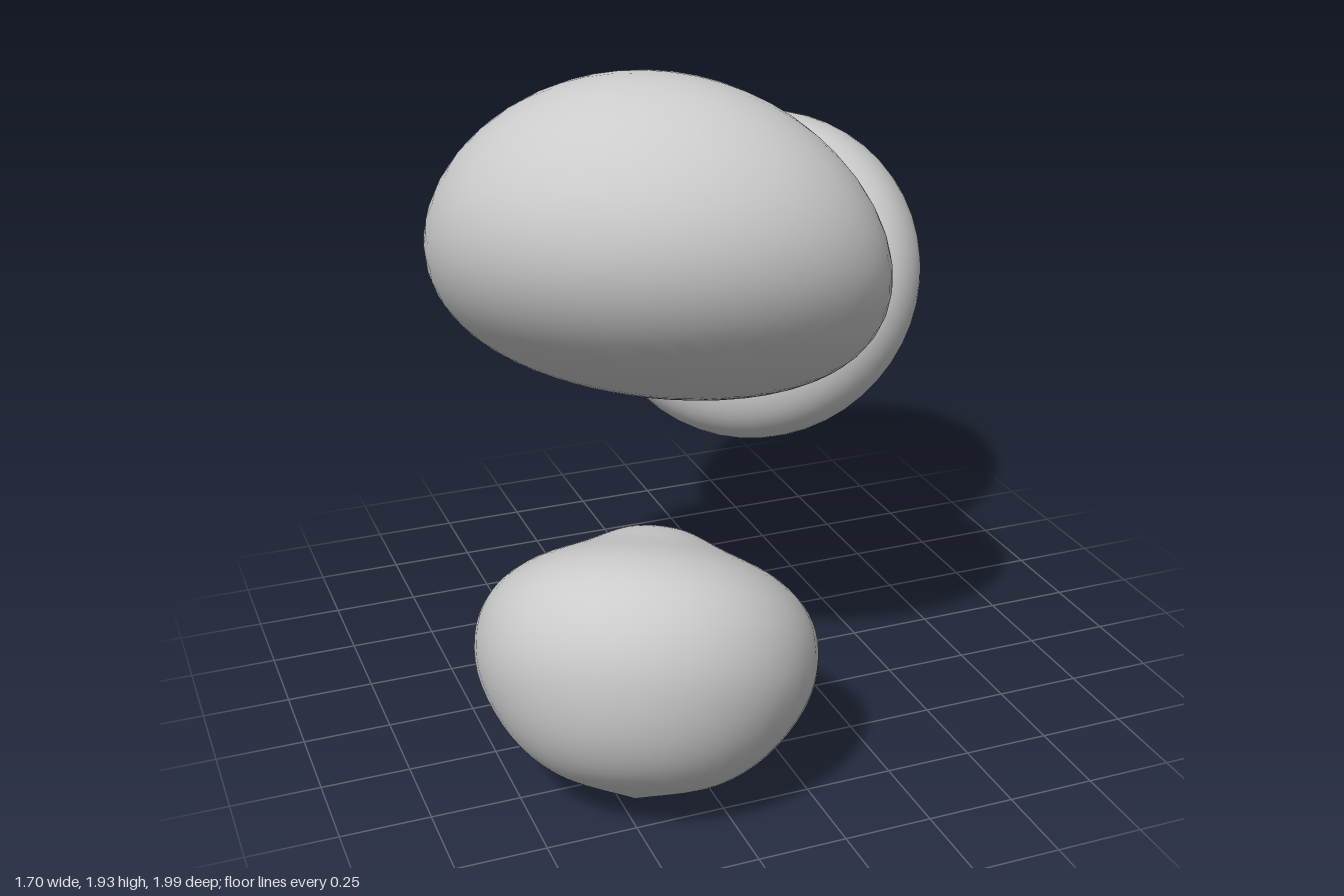
import * as THREE from 'three';

const material = new THREE.MeshStandardMaterial({ color: 0xcccccc });
const v3 = (a) => new THREE.Vector3(...a);

// Round pebble: a smooth profile (radius, height) turned about the given axis
function turnedPebble(name, profile, axis, centre) {
  const curve = new THREE.SplineCurve(profile.map(([r, h]) => new THREE.Vector2(r, h)));
  const points = curve.getPoints(40);
  points.forEach((p) => { p.x = Math.max(p.x, 0); });
  const mesh = new THREE.Mesh(new THREE.LatheGeometry(points, 48), material);
  mesh.name = name;
  mesh.quaternion.setFromUnitVectors(new THREE.Vector3(0, 1, 0), v3(axis).normalize());
  mesh.position.set(...centre);
  return mesh;
}

// Egg-like pebble: an ellipsoid (length, thickness, height) that is thicker at its upper end
function taperedPebble(name, [length, thickness, height], taper, long, thin, centre) {
  const geometry = new THREE.SphereGeometry(1, 48, 32);
  const pos = geometry.attributes.position;
  for (let i = 0; i < pos.count; i++) {
    const z = pos.getZ(i);
    pos.setXYZ(i, pos.getX(i) * length, pos.getY(i) * thickness * (1 + taper * z), z * height);
  }
  geometry.computeVertexNormals();
  const m = v3(thin).normalize();
  const up = v3(long).cross(m).normalize();
  const w = m.clone().cross(up);
  const mesh = new THREE.Mesh(geometry, material);
  mesh.name = name;
  mesh.quaternion.setFromRotationMatrix(new THREE.Matrix4().makeBasis(w, m, up));
  mesh.position.set(...centre);
  return mesh;
}

export function createModel() {
  const model = new THREE.Group();
  model.name = 'pebbles';

  // Large upper pebble, narrowing towards its lower edge
  model.add(taperedPebble('upperPebble', [0.64, 0.355, 0.57], 0.45,
    [0.815, 0.02, 0.58], [0.45, 0.57, -0.685], [-0.235, 1.385, 0.215]));

  // Rear disc with a domed inner face and a shallow dimple on its outer face
  model.add(turnedPebble('dimpledDisc', [
    [0, -0.28], [0.22, -0.255], [0.4, -0.195], [0.5, -0.11], [0.535, 0.01],
    [0.5, 0.115], [0.4, 0.175], [0.25, 0.18], [0.1, 0.15], [0, 0.14],
  ], [0.565, -0.5, -0.655], [0.375, 1.05, -0.55]));

  // Lower front pebble: a bowl below and a low blunt peak above
  model.add(turnedPebble('peakedPebble', [
    [0, -0.36], [0.2, -0.318], [0.34, -0.227], [0.44, -0.085], [0.465, 0.05],
    [0.43, 0.16], [0.34, 0.245], [0.2, 0.31], [0.09, 0.36], [0, 0.37],
  ], [0.28, 0.81, -0.52], [-0.405, 0.385, 0.57]));

  return model;
}
